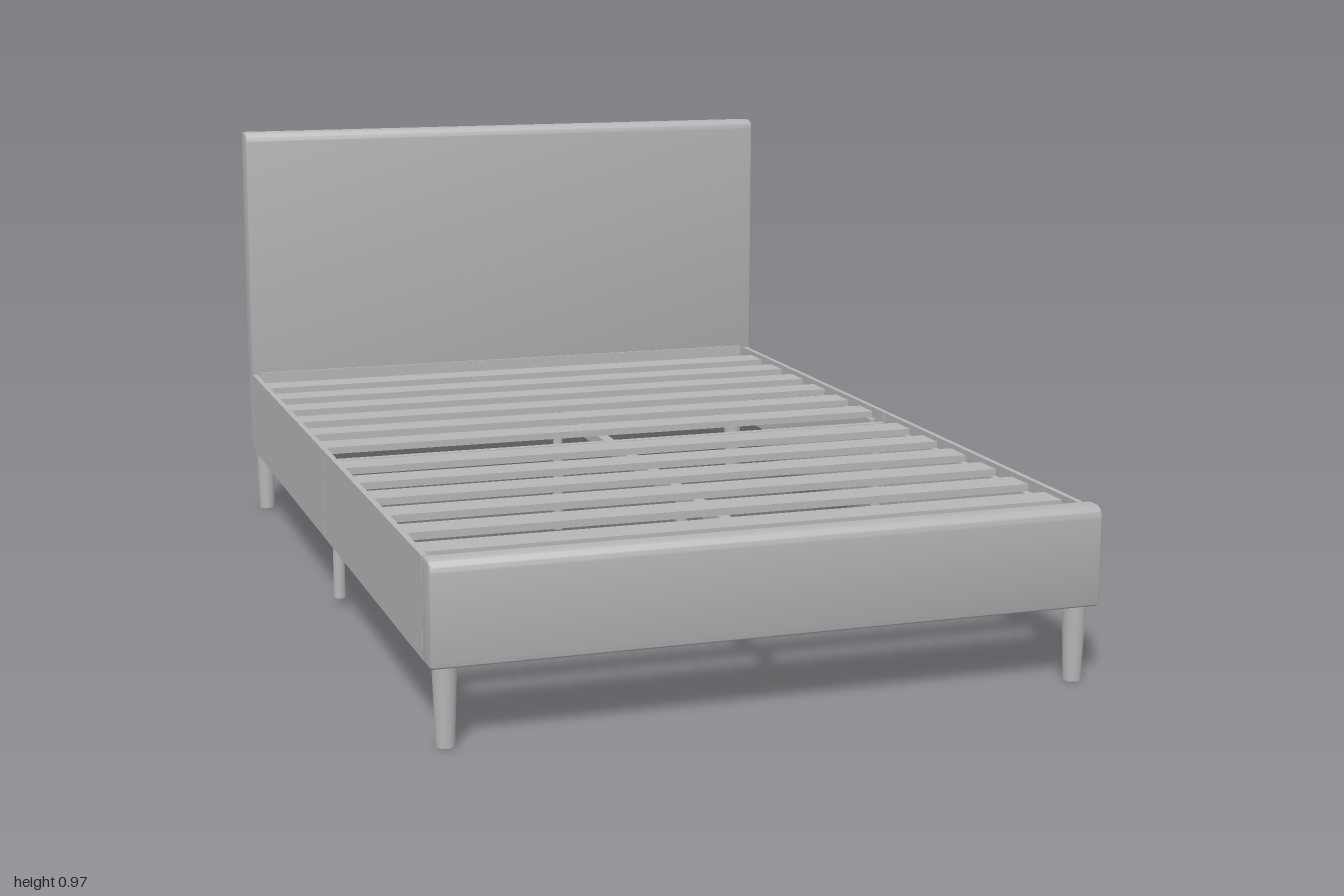
import * as THREE from 'three';
import { toCreasedNormals } from 'three/addons/utils/BufferGeometryUtils.js';

export function createModel() {
  const bed = new THREE.Group();
  bed.name = 'bedFrame';
  const grey = new THREE.MeshStandardMaterial({ color: 0xb5b5b5 });
  grey.name = 'plain grey';

  const add = (name, geometry, x = 0, y = 0, z = 0) => {
    const mesh = new THREE.Mesh(geometry, grey);
    mesh.name = name;
    mesh.position.set(x, y, z);
    bed.add(mesh);
    return mesh;
  };
  // Box given by its extents on each axis
  const box = (name, x0, x1, y0, y1, z0, z1) =>
    add(name, new THREE.BoxGeometry(x1 - x0, y1 - y0, z1 - z0),
      (x0 + x1) / 2, (y0 + y1) / 2, (z0 + z1) / 2);

  // Padded board: rounded side profile swept across the bed width
  const board = (name, y0, y1, z) => {
    const b = 0.006, h = 0.0325 - b, top = y1 - b, low = y0 + b, r = 0.018, s = 0.007;
    const p = new THREE.Shape();
    p.moveTo(-h + s, low);
    p.lineTo(h - s, low);
    p.quadraticCurveTo(h, low, h, low + s);
    p.lineTo(h, top - r);
    p.quadraticCurveTo(h, top, h - r, top);
    p.lineTo(-h + r, top);
    p.quadraticCurveTo(-h, top, -h, top - r);
    p.lineTo(-h, low + s);
    p.quadraticCurveTo(-h, low, -h + s, low);
    const depth = 1.36 - 2 * b;
    const g = new THREE.ExtrudeGeometry(p, {
      depth, bevelEnabled: true, bevelSize: b, bevelThickness: b, bevelSegments: 3, curveSegments: 8,
    });
    g.translate(0, 0, -depth / 2);
    g.rotateY(Math.PI / 2);
    add(name, toCreasedNormals(g, 0.7), 0, 0, z);
  };
  board('headboard', 0.155, 0.972, -0.9675);
  board('footboard', 0.155, 0.36, 0.9675);

  // Mounting panels on the inner faces of the boards
  box('headPanel', -0.66, 0.65, 0.165, 0.36, -0.936, -0.93);
  box('footPanel', -0.66, 0.65, 0.165, 0.345, 0.929, 0.936);

  // Side rails in two halves, with slat ledges and corner brackets
  for (const side of [-1, 1]) {
    const outer = side * 0.675 - 0.004, inner = outer - side * 0.012;
    const span = (name, a, b, y0, y1, z0, z1) =>
      box(name, Math.min(a, b), Math.max(a, b), y0, y1, z0, z1);
    span('rearSideRail', outer, inner, 0.157, 0.355, -0.935, -0.002);
    span('frontSideRail', outer, inner, 0.157, 0.355, 0.002, 0.934);
    const lip = inner - side * 0.015;
    for (const [z0, z1] of [[-0.9, -0.05], [0.025, 0.81]]) {
      span('slatLedge', inner, lip, 0.322, 0.33, z0, z1);
      span('slatLedgeLip', lip, lip + side * 0.004, 0.305, 0.33, z0, z1);
    }
    for (const end of [-1, 1]) {
      const z0 = end < 0 ? -0.93 : 0.925;
      span('cornerBracket', inner, inner - side * 0.03, 0.2, 0.3, z0, z0 + 0.005);
      const w = end < 0 ? -0.93 : 0.9;
      span('cornerBracketSide', inner, inner - side * 0.004, 0.2, 0.3, w, w + 0.03);
    }
    // Middle leg under the joint of the rail halves
    add('sideSupportLeg', new THREE.CylinderGeometry(0.013, 0.013, 0.3, 16), side * 0.645 - 0.004, 0.17, 0);
  }

  // Slats: six on each half
  for (let i = 0; i < 6; i++) {
    for (const first of [-0.828, 0.109]) {
      const z = first + i * 0.1452;
      box('slat', -0.665, 0.658, 0.33, 0.345, z - 0.036, z + 0.036);
    }
  }

  // Centre beam, cross beam and their legs
  box('centreBeam', -0.028, -0.004, 0.305, 0.33, -0.92, 0.93);
  box('crossBeam', -0.668, 0.66, 0.31, 0.33, -0.016, 0.002);
  for (const z of [0.475, -0.435]) {
    add('centreSupportLeg', new THREE.CylinderGeometry(0.012, 0.012, 0.29, 16), -0.015, 0.165, z);
  }

  // Tapered corner legs
  for (const x of [-0.647, 0.641]) {
    for (const z of [-0.963, 0.967]) {
      add('cornerLeg', new THREE.CylinderGeometry(0.024, 0.018, 0.165, 24), x, 0.0825, z);
    }
  }
  return bed;
}
